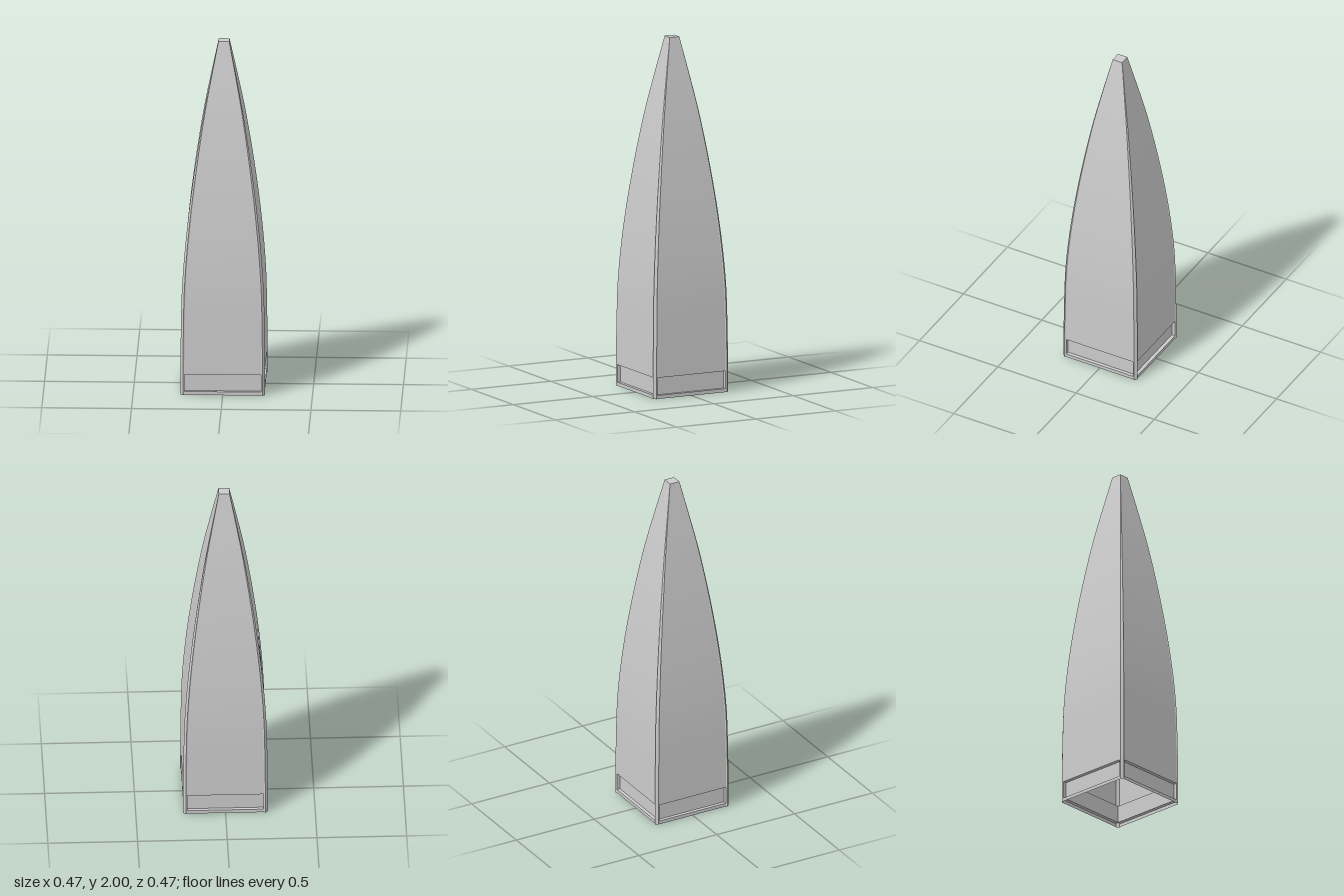
import * as THREE from 'three';

const material = new THREE.MeshStandardMaterial({ color: 0xcccccc, side: THREE.DoubleSide });

// Half-width of the tower at chosen heights, joined by a smooth curve
const TOP = 0.03, BASE = 0.232, SPLIT = 0.14;
const profile = new THREE.SplineCurve([
  [BASE, SPLIT], [0.229, 0.4], [0.224, 0.6], [0.211, 0.8], [0.192, 1.0],
  [0.168, 1.2], [0.14, 1.4], [0.108, 1.6], [0.07, 1.8], [TOP, 2],
].map(([a, y]) => new THREE.Vector2(a, y)));
const levels = profile.getPoints(36);
const chamfer = (a) => 0.017 * (a - TOP) / (BASE - TOP);

// Surface through rows of points, listed left to right and bottom to top
function patch(name, rows) {
  const n = rows[0].length, index = [];
  for (let r = 0; r < rows.length - 1; r++) {
    for (let i = 0; i < n - 1; i++) {
      const a = r * n + i, b = a + 1, c = a + n, d = c + 1;
      index.push(a, b, d, a, d, c);
    }
  }
  const geometry = new THREE.BufferGeometry();
  geometry.setAttribute('position', new THREE.Float32BufferAttribute(rows.flat(2), 3));
  geometry.setIndex(index);
  geometry.computeVertexNormals();
  const mesh = new THREE.Mesh(geometry, material);
  mesh.name = name;
  return mesh;
}

// Lower wall with a rectangular opening and a shallow recessed panel behind it
function basePanel() {
  const group = new THREE.Group();
  group.name = 'basePanel';
  const w = BASE - chamfer(BASE), x = 0.213, y0 = 0.02, y1 = 0.12;
  const shape = new THREE.Shape([[-w, 0], [w, 0], [w, SPLIT], [-w, SPLIT]].map((p) => new THREE.Vector2(...p)));
  shape.holes.push(new THREE.Path([[-x, y0], [-x, y1], [x, y1], [x, y0]].map((p) => new THREE.Vector2(...p))));
  const frame = new THREE.Mesh(new THREE.ShapeGeometry(shape), material);
  frame.name = 'panelFrame';
  frame.position.z = BASE;
  const f = BASE, b = BASE - 0.02;
  group.add(
    frame,
    patch('panelBack', [[[-x, y0, b], [x, y0, b]], [[-x, y1, b], [x, y1, b]]]),
    patch('panelSill', [[[-x, y0, f], [x, y0, f]], [[-x, y0, b], [x, y0, b]]]),
    patch('panelLintel', [[[-x, y1, b], [x, y1, b]], [[-x, y1, f], [x, y1, f]]]),
    patch('panelSideRight', [[[-x, y0, f], [-x, y0, b]], [[-x, y1, f], [-x, y1, b]]]),
    patch('panelSideLeft', [[[x, y0, b], [x, y0, f]], [[x, y1, b], [x, y1, f]]]),
  );
  return group;
}

// Slightly raised, chamfered edge running up one corner
function cornerTrim() {
  const group = new THREE.Group();
  group.name = 'cornerTrim';
  const section = (a, y) => {
    const c = chamfer(a), s = a - c, m = a - 0.6 * c, o = a + 0.25 * c;
    return [[s, y, a], [m, y, o], [o, y, m], [a, y, s]];
  };
  const rows = [section(BASE, 0), ...levels.map((p) => section(p.x, p.y))];
  for (let i = 0; i < 3; i++) group.add(patch('trimFace', rows.map((r) => [r[i], r[i + 1]])));
  return group;
}

export function createModel() {
  const model = new THREE.Group();
  model.name = 'taperedTower';

  // Four identical sides, each with its corner
  for (let i = 0; i < 4; i++) {
    const side = new THREE.Group();
    side.name = 'side';
    side.rotation.y = i * Math.PI / 2;
    side.add(
      patch('wall', levels.map(({ x: a, y }) => {
        const w = a - chamfer(a);
        return [[-w, y, a], [w, y, a]];
      })),
      basePanel(),
      cornerTrim(),
    );
    model.add(side);
  }

  // Flat tip
  model.add(patch('cap', [[[-TOP, 2, TOP], [TOP, 2, TOP]], [[-TOP, 2, -TOP], [TOP, 2, -TOP]]]));
  return model;
}
